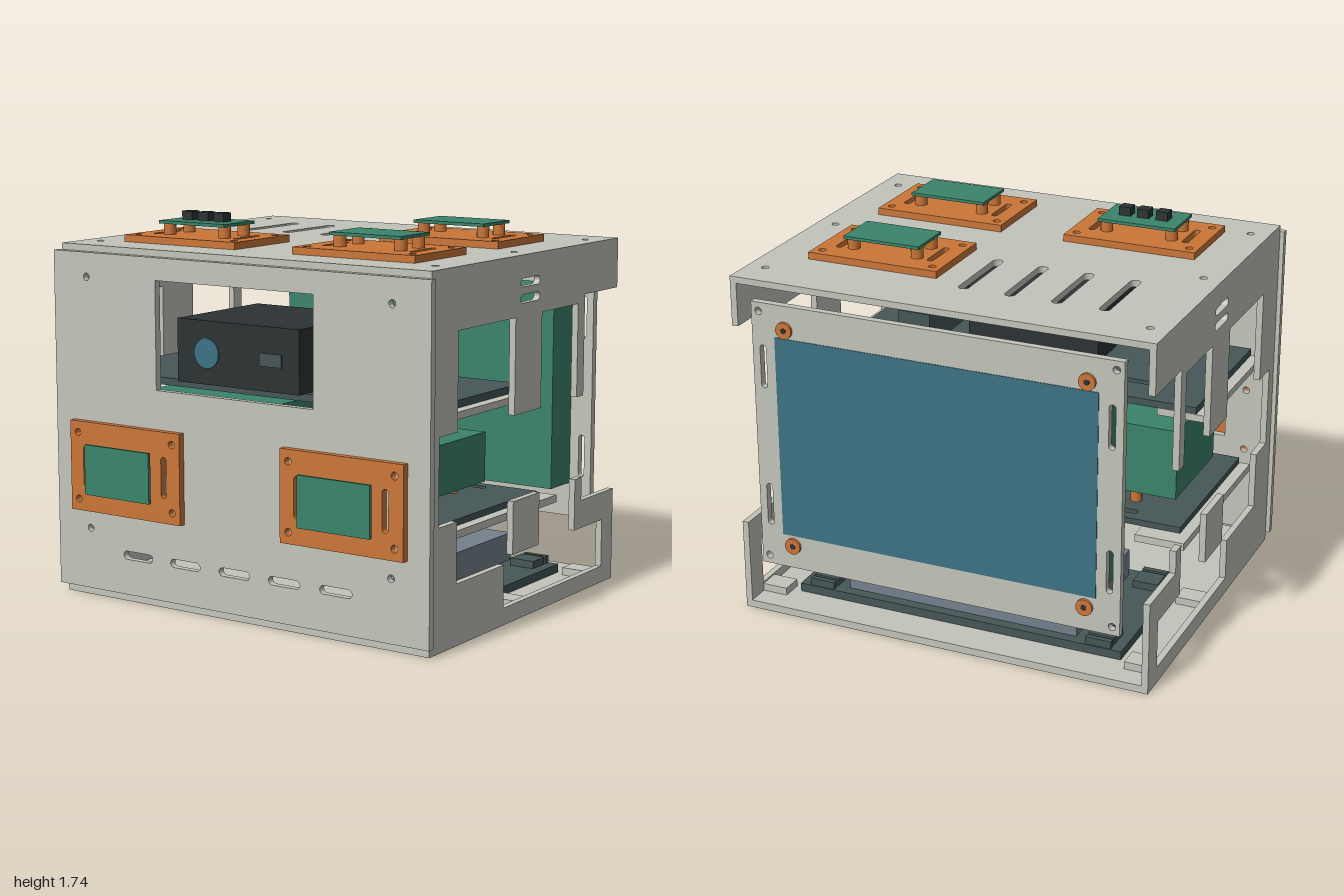
import * as THREE from 'three';

const mat = (name, color) => Object.assign(new THREE.MeshStandardMaterial({ color }), { name });
const M = {
  shell: mat('shell grey', 0xc3c5bb),
  orange: mat('mount orange', 0xcb7638),
  green: mat('board green', 0x3a846b),
  slate: mat('tray slate', 0x465657),
  black: mat('device black', 0x2c3334),
  steel: mat('drive steel', 0x75818d),
  glass: mat('screen teal', 0x3c7383),
};

// ---- helpers ----
function mesh(parent, name, geo, m, x = 0, y = 0, z = 0) {
  const o = new THREE.Mesh(geo, m);
  o.name = name;
  o.position.set(x, y, z);
  parent.add(o);
  return o;
}
// box given by its low and high corners
function box(parent, name, m, x0, x1, y0, y1, z0, z1) {
  return mesh(parent, name, new THREE.BoxGeometry(x1 - x0, y1 - y0, z1 - z0), m,
    (x0 + x1) / 2, (y0 + y1) / 2, (z0 + z1) / 2);
}
function rect(x, y, w, h, C = THREE.Path) {
  const p = new C();
  p.moveTo(x - w / 2, y - h / 2);
  p.lineTo(x + w / 2, y - h / 2);
  p.lineTo(x + w / 2, y + h / 2);
  p.lineTo(x - w / 2, y + h / 2);
  p.closePath();
  return p;
}
function hole(x, y, r = 0.017) {
  const p = new THREE.Path();
  p.absarc(x, y, r, 0, Math.PI * 2);
  return p;
}
// rounded slot: the longer of w and h is its length
function slot(x, y, w, h) {
  const p = new THREE.Path(), r = Math.min(w, h) / 2, d = Math.max(w, h) / 2 - r;
  if (w > h) {
    p.absarc(x + d, y, r, -Math.PI / 2, Math.PI / 2);
    p.absarc(x - d, y, r, Math.PI / 2, Math.PI * 1.5);
  } else {
    p.absarc(x, y + d, r, 0, Math.PI);
    p.absarc(x, y - d, r, Math.PI, Math.PI * 2);
  }
  p.closePath();
  return p;
}
function extrude(shape, holes, depth) {
  shape.holes = holes;
  return new THREE.ExtrudeGeometry(shape, { depth, bevelEnabled: false, curveSegments: 8 });
}
// horizontal panel: shape y runs along -z
const flat = (shape, holes, depth) => extrude(shape, holes, depth).rotateX(-Math.PI / 2);
const corners = (x, y) => [[x, y], [-x, y], [x, -y], [-x, -y]];
const SX = 0.268, SY = 0.153;
// openings a mounting unit needs in the panel beneath it
const unitHoles = (x, y) => [rect(x, y, 0.34, 0.2), ...corners(SX, SY).map(([a, b]) => hole(x + a, y + b))];

// orange mounting plate with a small circuit board held in front of it
function mountUnit(parent, name, gap, { posts = false, buttons = false } = {}) {
  const g = new THREE.Group();
  g.name = name;
  parent.add(g);
  const cut = [...corners(SX, SY).map(([a, b]) => hole(a, b)),
    slot(-0.223, 0, 0.03, 0.185), slot(0.223, 0, 0.03, 0.185)];
  mesh(g, 'mountPlate', extrude(rect(0, 0, 0.623, 0.41, THREE.Shape), cut, 0.032), M.orange);
  const zb = 0.032 + gap;
  box(g, 'circuitBoard', M.green, -0.183, 0.183, -0.114, 0.114, zb, zb + 0.014);
  if (posts) for (const [x, y] of corners(0.155, 0.07))
    mesh(g, 'post', new THREE.CylinderGeometry(0.028, 0.028, gap, 16).rotateX(Math.PI / 2), M.orange, x, y, 0.032 + gap / 2);
  if (buttons) for (const x of [-0.09, 0, 0.087])
    box(g, 'button', M.black, x - 0.028, x + 0.028, -0.028, 0.028, zb + 0.014, zb + 0.054);
  return g;
}

export function createModel() {
  const root = new THREE.Group();
  root.name = 'electronicsCase';

  // front panel with window, vents and mounting openings
  const frontUnits = [-0.583, 0.58];
  const frontCut = [rect(0, 1.2325, 0.84, 0.485),
    ...[-0.537, -0.27, 0, 0.267, 0.535].map(x => slot(x, 0.222, 0.165, 0.038)),
    ...corners(0.812, 0.5725).map(([x, y]) => hole(x, 0.8925 + y)),
    ...frontUnits.flatMap(x => unitHoles(x, 0.61))];
  mesh(root, 'frontPanel', extrude(rect(0, 0.8075, 2, 1.535, THREE.Shape), frontCut, 0.033), M.shell, 0, 0, 0.767);
  for (const x of frontUnits) mountUnit(root, 'frontMount', 0.042).position.set(x, 0.61, 0.8);

  // roof with vents, screw holes and three mounting units
  const roofUnits = [[-0.467, 0.367, true], [0.463, 0.367, false], [0.463, -0.307, false]];
  const screwZ = [-0.685, -0.04, 0.6];
  const roofCut = [...[-0.645, -0.43, -0.215, 0].map(x => slot(x, 0.382, 0.048, 0.395)),
    ...screwZ.flatMap(z => [hole(0.893, -z), hole(-0.893, -z)]),
    ...roofUnits.flatMap(([x, z]) => unitHoles(x, -z))];
  mesh(root, 'roof', flat(rect(0, 0.0365, 1.9, 1.607, THREE.Shape), roofCut, 0.03), M.shell, 0, 1.575, 0);
  for (const [x, z, buttons] of roofUnits) {
    const u = mountUnit(root, 'roofMount', 0.05, { posts: true, buttons });
    u.rotation.x = -Math.PI / 2;
    u.position.set(x, 1.605, z);
  }

  // floor with front vents and cable slots
  const traySlots = () => corners(0.4, 0.3).map(([x, y]) => slot(x, 0.3 + y, 0.27, 0.035));
  const floorCut = [...[-0.55, -0.275, 0, 0.275, 0.55].map(x => slot(x, -0.56, 0.05, 0.24)), ...traySlots()];
  mesh(root, 'floor', flat(rect(0, 0.0365, 1.9, 1.607, THREE.Shape), floorCut, 0.035), M.shell);

  // side walls, each one open towards the back
  const outline = [[0.767, 0], [0.767, 1.605], [-0.84, 1.605], [-0.84, 1.377], [-0.53, 1.377], [-0.53, 0.916],
    [-0.467, 0.916], [-0.467, 1.34], [-0.14, 1.34], [-0.14, 0.916], [0.09, 0.916], [0.09, 1.34], [0.557, 1.34],
    [0.557, 0.916], [0.7, 0.916], [0.7, 0.537], [0.557, 0.537], [0.557, 0.27], [0.163, 0.27], [0.163, 0.077],
    [-0.735, 0.077], [-0.735, 0.3], [-0.467, 0.3], [-0.467, 0.537], [-0.53, 0.537], [-0.53, 0.43], [-0.84, 0.43], [-0.84, 0]];
  for (const s of [-1, 1]) {
    const wall = new THREE.Shape(outline.map(([z, y]) => new THREE.Vector2(z, y)));
    const geo = extrude(wall, [slot(-0.033, 1.485, 0.165, 0.037), slot(-0.033, 1.415, 0.165, 0.037)], 0.03);
    mesh(root, 'sideWall', geo.rotateY(-Math.PI / 2), M.shell, s > 0 ? 0.98 : -0.95, 0, 0);
    // shelf rails, the lower one with an end tab in the wall plane
    const side = (name, a, b, ...r) => box(root, name, M.shell, Math.min(s * a, s * b), Math.max(s * a, s * b), ...r);
    side('lowerShelfRail', 0.72, 0.95, 0.45, 0.484, -0.35, 0.557);
    side('shelfTab', 0.95, 0.98, 0.3, 0.537, -0.14, 0.09);
    side('upperShelfRail', 0.72, 0.95, 0.958, 0.99, -0.1, 0.66);
    for (const z of screwZ) side('cornerBlock', 0.83, 0.95, 0.035, 0.07, z - 0.05, z + 0.05);
  }

  // back frame around the display
  const backCut = [rect(0, 0.9, 1.5, 0.94),
    ...corners(0.81, 0.33).map(([x, y]) => slot(x, 0.895 + y, 0.03, 0.2)),
    ...corners(0.825, 0.585).map(([x, y]) => hole(x, 0.895 + y))];
  mesh(root, 'backFrame', extrude(rect(0, 0.895, 1.72, 1.25, THREE.Shape), backCut, 0.035), M.shell, 0, 0, -0.875);
  box(root, 'displayBody', M.green, -0.75, 0.75, 0.43, 1.375, -0.84, -0.66);
  box(root, 'screen', M.glass, -0.75, 0.75, 0.43, 1.37, -0.878, -0.84);
  for (const [x, y] of corners(0.7, 0.515)) {
    mesh(root, 'screw', new THREE.CylinderGeometry(0.038, 0.038, 0.013, 20).rotateX(Math.PI / 2), M.orange, x, 0.895 + y, -0.8815);
    mesh(root, 'screwSocket', new THREE.CylinderGeometry(0.014, 0.014, 0.002, 6).rotateX(Math.PI / 2), M.black, x, 0.895 + y, -0.888);
  }

  // camera unit behind the front window
  box(root, 'cameraBody', M.black, -0.325, 0.325, 1.035, 1.315, 0.18, 0.765);
  mesh(root, 'lens', new THREE.CylinderGeometry(0.066, 0.066, 0.006, 32).rotateX(Math.PI / 2), M.glass, -0.165, 1.172, 0.767);
  box(root, 'sensor', M.slate, 0.12, 0.235, 1.143, 1.2, 0.764, 0.77);
  const shelfSlots = z => [-0.55, 0, 0.55].map(x => slot(x, -z, 0.25, 0.035));
  mesh(root, 'upperTray', flat(rect(0, -0.28, 1.8, 0.76, THREE.Shape), shelfSlots(0.08), 0.033), M.slate, 0, 0.99, 0);
  box(root, 'sideModule', M.slate, 0.48, 0.64, 1.023, 1.18, 0.08, 0.6);

  // middle tray carrying two raised green modules
  mesh(root, 'middleTray', flat(rect(0, -0.145, 1.8, 0.81, THREE.Shape), shelfSlots(-0.19), 0.028), M.slate, 0, 0.484, 0);
  box(root, 'largeModule', M.green, -0.82, -0.08, 0.565, 0.895, -0.105, 0.4);
  box(root, 'smallModule', M.green, -0.08, 0.73, 0.565, 0.79, -0.09, 0.385);
  const posts = [[-0.62, 0.363], [-0.28, 0.363], [-0.62, -0.07], [-0.28, -0.07],
    [0.1, 0.228], [0.6, 0.228], [0.1, -0.02], [0.6, -0.02]];
  for (const [x, z] of posts)
    mesh(root, 'modulePost', new THREE.CylinderGeometry(0.027, 0.027, 0.055, 16), M.orange, x, 0.5385, z);

  // bottom tray with a steel drive and small clips
  mesh(root, 'bottomTray', flat(rect(0, 0.3, 1.58, 0.74, THREE.Shape), traySlots(), 0.04), M.slate, 0, 0.035, 0);
  box(root, 'drive', M.steel, -0.56, 0.56, 0.075, 0.205, -0.62, 0.02);
  for (const s of [-1, 1])
    for (const [z0, z1] of [[0.035, 0.06], [-0.09, 0.017], [-0.625, -0.52], [-0.665, -0.64]])
      box(root, 'trayClip', M.slate, s * 0.68 - 0.06, s * 0.68 + 0.06, 0.075, 0.11, z0, z1);

  return root;
}
